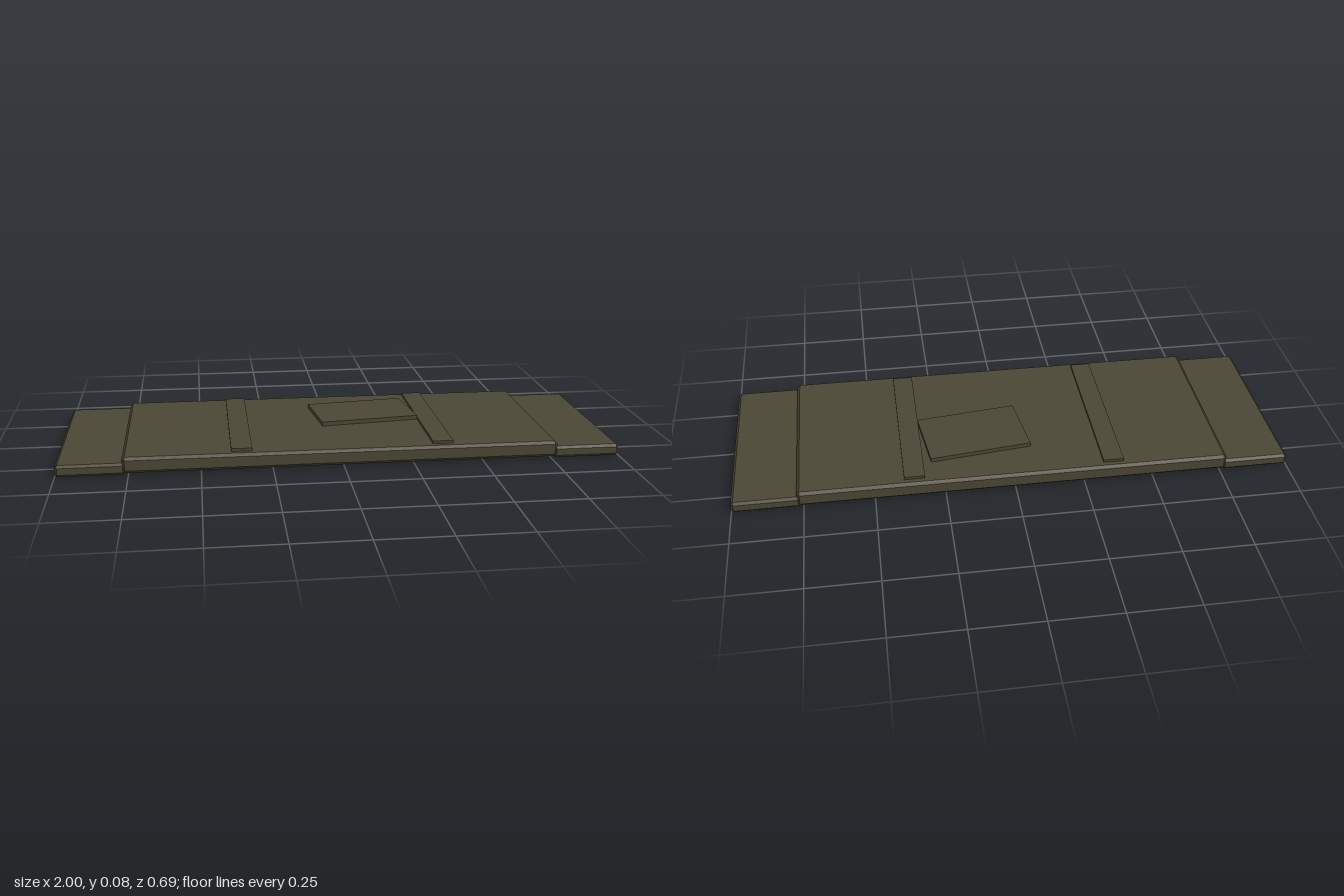
import * as THREE from 'three';
import { ConvexGeometry } from 'three/addons/geometries/ConvexGeometry.js';

// Box of size w, h, d with all its edges cut by c, flat shaded
function chamferBox(w, h, d, c) {
  const points = [];
  for (const sx of [-1, 1]) for (const sy of [-1, 1]) for (const sz of [-1, 1]) {
    for (let axis = 0; axis < 3; axis++) {
      // each corner becomes three points, one on each adjoining face
      const inset = [c, c, c];
      inset[axis] = 0;
      points.push(new THREE.Vector3(
        sx * (w / 2 - inset[0]), sy * (h / 2 - inset[1]), sz * (d / 2 - inset[2])));
    }
  }
  return new ConvexGeometry(points);
}

export function createModel() {
  const group = new THREE.Group();
  const olive = new THREE.MeshStandardMaterial({ color: 0x4b4735 });
  olive.name = 'dark olive';

  function add(name, geometry, x, y, z) {
    const mesh = new THREE.Mesh(geometry, olive);
    mesh.name = name;
    mesh.position.set(x, y, z);
    group.add(mesh);
    return mesh;
  }

  // Thick middle slab, raised just off the ground
  add('mainSlab', chamferBox(1.544, 0.057, 0.688, 0.01), 0, 0.0335, 0);

  // Mirrored end flaps and the straps across the slab
  for (const [side, s] of [['left', 1], ['right', -1]]) {
    add(side + 'EndFlap', chamferBox(0.24, 0.042, 0.686, 0.009), s * 0.88, 0.021, 0);
    add(side + 'Strap', new THREE.BoxGeometry(0.074, 0.016, 0.632), s * 0.358, 0.064, -0.001);
  }

  // Slightly turned patch on top
  const patch = add('patch', new THREE.BoxGeometry(0.371, 0.02, 0.246), 0.123, 0.067, -0.085);
  patch.rotation.y = 0.122;

  return group;
}
